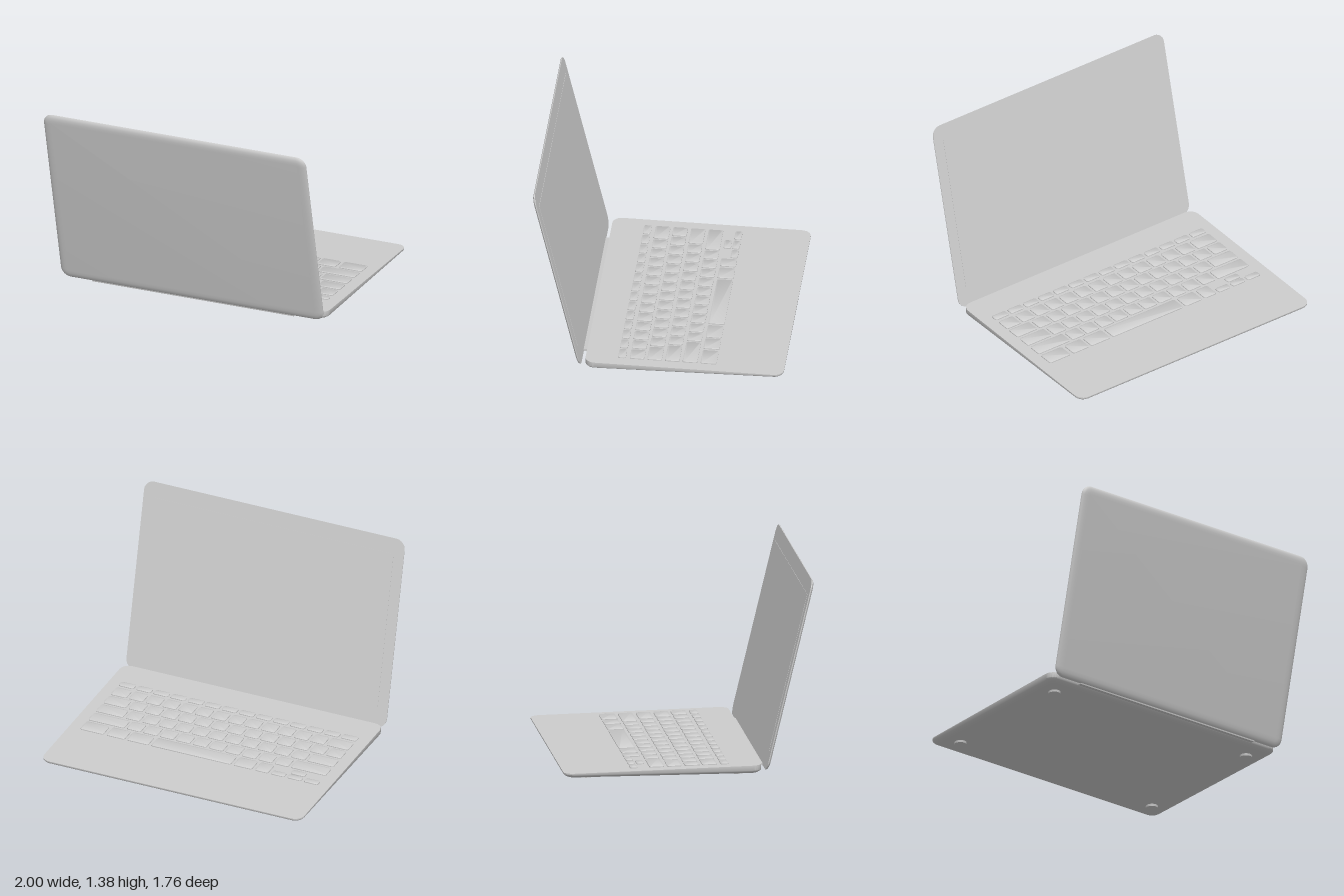
import * as THREE from 'three';
import { toCreasedNormals } from 'three/addons/utils/BufferGeometryUtils.js';

// Rounded-rectangle slab lofted through layers of [inset, height]; height may depend on z
function slab(w, d, r, layers, seg = 6) {
  const pos = [], idx = [], n = 4 * (seg + 1);
  for (const [inset, h] of layers) {
    for (let i = 0; i < n; i++) {
      const q = Math.floor(i / (seg + 1));
      const a = (q + (i % (seg + 1)) / seg) * Math.PI / 2;
      const sx = q === 0 || q === 3 ? 1 : -1, sz = q < 2 ? 1 : -1;
      const x = sx * (w / 2 - r) + (r - inset) * Math.cos(a);
      const z = sz * (d / 2 - r) + (r - inset) * Math.sin(a);
      pos.push(x, typeof h === 'function' ? h(z) : h, z);
    }
  }
  const top = (layers.length - 1) * n;
  for (let i = 0; i < n; i++) {
    const j = (i + 1) % n;
    for (let k = 0; k < top; k += n) idx.push(k + i, k + n + i, k + j, k + j, k + n + i, k + n + j);
    if (i > 0 && i < n - 1) idx.push(0, i, i + 1, top, top + i + 1, top + i);
  }
  const geo = new THREE.BufferGeometry();
  geo.setAttribute('position', new THREE.Float32BufferAttribute(pos, 3));
  geo.setIndex(idx);
  return toCreasedNormals(geo, 0.75);
}

export function createModel() {
  const model = new THREE.Group();
  model.name = 'laptop';
  const silver = new THREE.MeshStandardMaterial({ color: 0xcccccc });
  silver.name = 'silver';
  const add = (parent, name, geo, x = 0, y = 0, z = 0) => {
    const mesh = new THREE.Mesh(geo, silver);
    mesh.name = name;
    mesh.position.set(x, y, z);
    parent.add(mesh);
    return mesh;
  };

  // Wedge-shaped base with a rounded underside
  const deckY = z => 0.066 + 0.02 * z;
  add(model, 'base', slab(2, 1.39, 0.07, [
    [0.066, 0.015], [0.045, 0.018], [0.025, 0.024], [0.008, 0.034], [0, 0.043], [0, deckY],
  ]), 0, 0, -0.185);

  // Feet
  for (const x of [-0.85, 0.85]) for (const z of [0.35, -0.71]) {
    add(model, 'foot', new THREE.CylinderGeometry(0.045, 0.042, 0.02, 24), x, 0.01, z);
  }

  // Hinge strip between base and lid
  add(model, 'hinge', new THREE.BoxGeometry(1.54, 0.016, 0.06), 0, 0.043, 0.518).rotation.x = 0.2;

  // Lid, local y pointing out of its back
  const lid = new THREE.Group();
  lid.name = 'lid';
  lid.position.set(0, 0.71, 0.7);
  lid.rotation.x = Math.PI / 2 + 0.237;
  model.add(lid);
  add(lid, 'lidShell', slab(2, 1.385, 0.07, [
    [0, 0], [0, 0.006], [0.006, 0.012], [0.02, 0.018], [0.04, 0.021], [0.06, 0.022],
  ]));
  add(lid, 'screen', new THREE.BoxGeometry(1.845, 0.004, 1.14), 0, 0, -0.01);

  // Keyboard lying on the sloped deck
  const keyboard = new THREE.Group();
  keyboard.name = 'keyboard';
  keyboard.position.y = 0.0697;
  keyboard.rotation.x = -0.02;
  model.add(keyboard);
  const key = (x0, x1, z0, z1) => add(keyboard, 'key',
    slab(x1 - x0, z1 - z0, 0.013, [[0, -0.002], [0, 0.006], [0.003, 0.008]], 3),
    (x0 + x1) / 2, 0, (z0 + z1) / 2);

  // Rows: z range, right end of first key, count of equal keys, start of last key
  const edge = 0.912, gap = 0.02;
  const rows = [
    [0.23, 0.285, -0.797, 12, 0.797],
    [0.1, 0.203, -0.745, 12, 0.792],
    [-0.022, 0.08, -0.8, 12, 0.74],
    [-0.145, -0.045, -0.712, 11, 0.705],
    [-0.27, -0.168, -0.643, 10, 0.637],
  ];
  for (const [z0, z1, first, count, last] of rows) {
    key(-edge, first, z0, z1);
    key(last, edge, z0, z1);
    const pitch = (last - first - gap) / count;
    for (let i = 0; i < count; i++) {
      const x = first + gap + i * pitch;
      key(x, x + pitch - gap, z0, z1);
    }
  }

  // Space bar row
  const spaceRow = [[-0.53, -0.43], [-0.405, -0.265], [-0.243, 0.366], [0.39, 0.553], [0.572, 0.71], [0.735, edge]];
  for (const [x0, x1] of spaceRow) key(x0, x1, -0.405, -0.293);

  // Half-height arrow keys
  for (const [x0, x1] of [[-edge, -0.805], [-0.784, -0.676], [-0.655, -0.553]]) key(x0, x1, -0.405, -0.355);
  key(-0.784, -0.676, -0.345, -0.293);

  return model;
}
